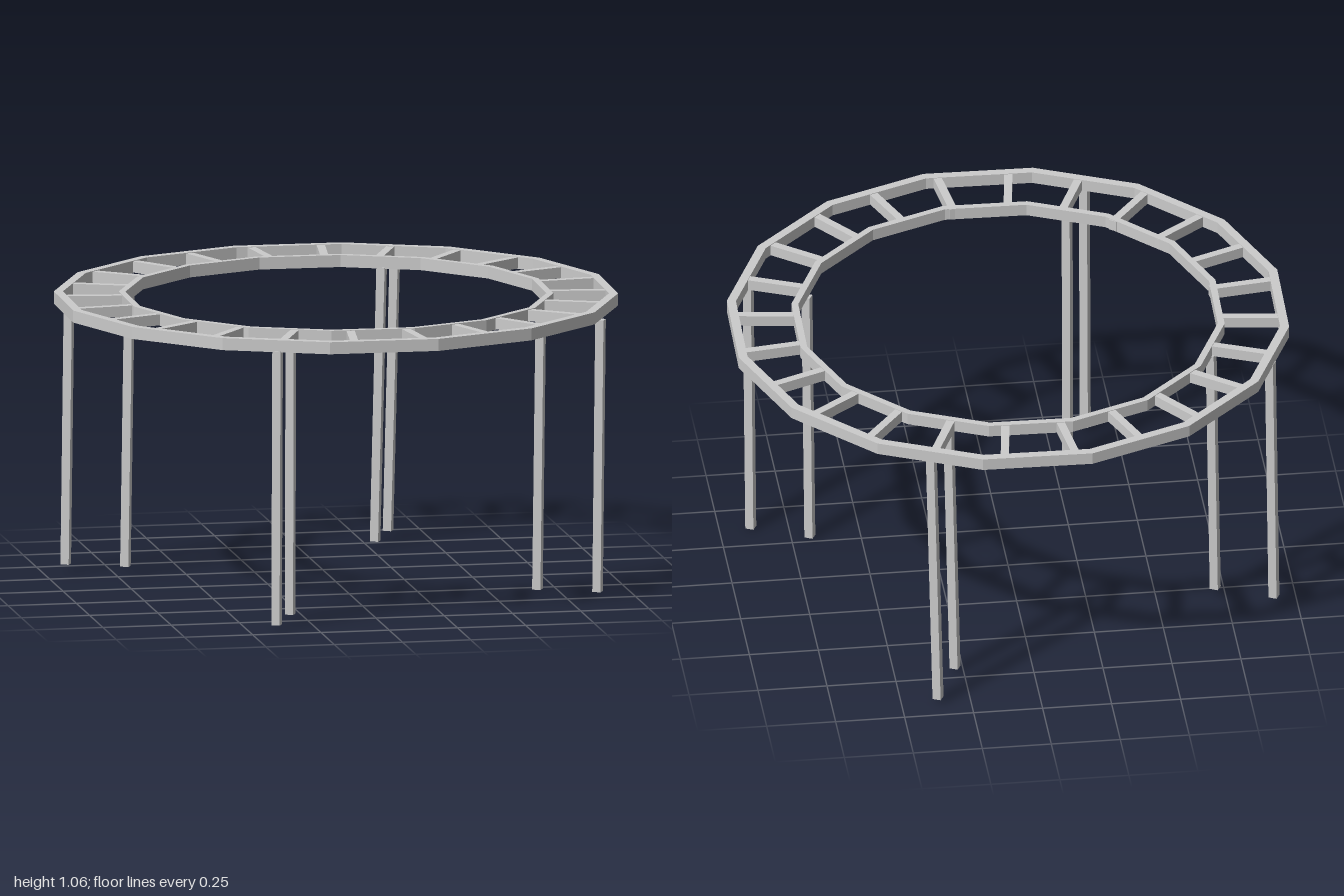
import * as THREE from 'three';

const DEG = Math.PI / 180;
const Y0 = 1.016, HEIGHT = 0.044;

export function createModel() {
  const model = new THREE.Group();
  model.name = 'ringTrackFrame';
  const material = new THREE.MeshStandardMaterial({ color: 0xcccccc, flatShading: true });

  const add = (name, geometry, parent = model) => {
    const mesh = new THREE.Mesh(geometry, material);
    mesh.name = name;
    parent.add(mesh);
    return mesh;
  };

  // Sixteen-sided outline, counter-clockwise, slightly turned from the axes
  const outline = (radius) => Array.from({ length: 16 }, (_, i) => {
    const a = (12.2 - 22.5 * i) * DEG;
    return new THREE.Vector2(radius * Math.sin(a), radius * Math.cos(a));
  });

  // Flat rails bent into rings
  const addRing = (name, outer, inner) => {
    const shape = new THREE.Shape(outline(outer));
    shape.holes.push(new THREE.Path(outline(inner).reverse()));
    const geometry = new THREE.ExtrudeGeometry(shape, { depth: HEIGHT, bevelEnabled: false });
    geometry.rotateX(-Math.PI / 2);
    add(name, geometry).position.y = Y0;
  };
  addRing('outerRail', 1.015, 0.982);
  addRing('innerRail', 0.782, 0.757);

  // Radial rungs joining the two rails
  const rungs = new THREE.Group();
  rungs.name = 'rungs';
  rungs.position.set(0.006, Y0 + HEIGHT / 2, -0.005);
  model.add(rungs);
  const rungGeometry = new THREE.BoxGeometry(0.03, HEIGHT - 0.004, 0.228);
  rungGeometry.translate(0, 0, -0.869);
  for (let i = 0; i < 24; i++) {
    add('rung', rungGeometry, rungs).rotation.y = -(7.5 + 15 * i) * DEG;
  }

  // Slightly leaning square posts: [top x, y, z], [bottom x, y, z]
  const posts = [
    [[0.39, 1.02, -0.895], [0.367, 0.018, -0.905]],
    [[0.302, 1.02, -0.692], [0.28, 0.018, -0.702]],
    [[0.892, 1.0, 0.395], [0.885, 0.003, 0.375]],
    [[0.69, 1.0, 0.308], [0.682, 0.003, 0.287]],
    [[-0.39, 1.02, 0.903], [-0.393, 0.018, 0.90]],
    [[-0.302, 1.02, 0.70], [-0.304, 0.018, 0.697]],
    [[-0.902, 1.02, -0.388], [-0.916, 0.032, -0.38]],
    [[-0.698, 1.02, -0.302], [-0.714, 0.032, -0.295]],
  ];
  const up = new THREE.Vector3(0, 1, 0);
  const turn = new THREE.Quaternion().setFromAxisAngle(up, -27 * DEG);
  for (const [t, b] of posts) {
    const top = new THREE.Vector3(...t), bottom = new THREE.Vector3(...b);
    const axis = top.clone().sub(bottom);
    const post = add('leg', new THREE.BoxGeometry(0.031, axis.length(), 0.031));
    post.position.copy(top).add(bottom).multiplyScalar(0.5);
    post.quaternion.setFromUnitVectors(up, axis.normalize()).multiply(turn);
  }
  return model;
}
